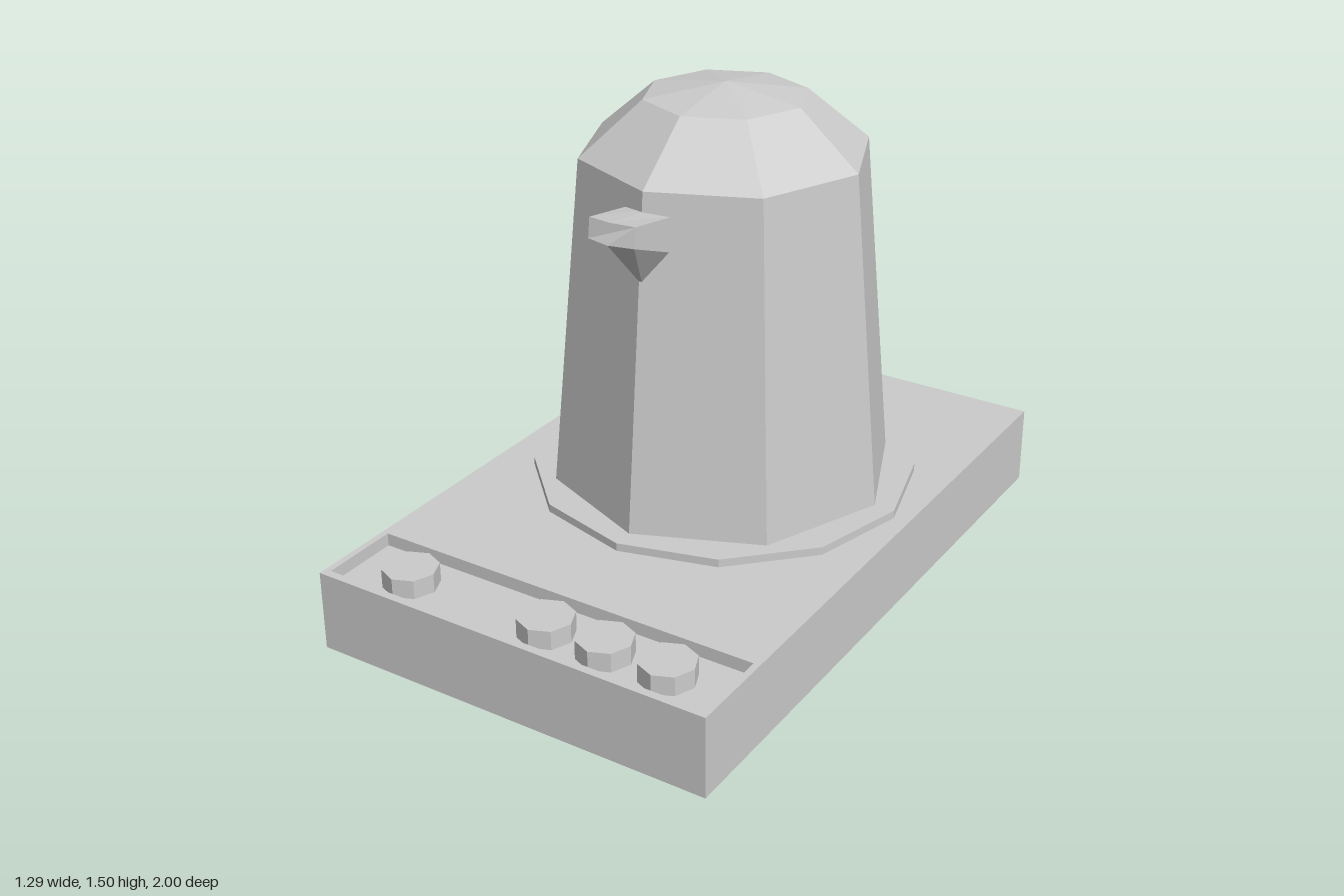
import * as THREE from 'three';

const grey = new THREE.MeshStandardMaterial({ color: 0xcccccc, flatShading: true });

function part(name, geometry, x = 0, y = 0, z = 0) {
  const mesh = new THREE.Mesh(geometry, grey);
  mesh.name = name;
  mesh.position.set(x, y, z);
  return mesh;
}

// Capped skin over equal-length rings, each counter-clockwise seen from ahead
function loft(rings) {
  const n = rings[0].length;
  const pos = [];
  const tri = (a, b, c) => pos.push(...a, ...b, ...c);
  for (let k = 0; k + 1 < rings.length; k++) {
    const a = rings[k], b = rings[k + 1];
    for (let i = 0; i < n; i++) {
      const j = (i + 1) % n;
      tri(a[i], a[j], b[j]);
      tri(a[i], b[j], b[i]);
    }
  }
  const first = rings[0], last = rings[rings.length - 1];
  for (let i = 1; i + 1 < n; i++) {
    tri(first[0], first[i + 1], first[i]);
    tri(last[0], last[i], last[i + 1]);
  }
  const g = new THREE.BufferGeometry();
  g.setAttribute('position', new THREE.Float32BufferAttribute(pos, 3));
  g.computeVertexNormals();
  return g;
}

const rect = (x, z0, z1, y) => [[x, y, z1], [x, y, z0], [-x, y, z0], [-x, y, z1]];

export function createModel() {
  const model = new THREE.Group();
  model.name = 'kettleOnBase';

  // Slab with a sunken control tray at the front
  model.add(part('base', loft([
    rect(0.645, -1, 1, 0),
    rect(0.645, -1, 1, 0.25),
    rect(0.625, 0.73, 0.975, 0.25),
    rect(0.625, 0.73, 0.975, 0.21),
  ])));

  // Control knobs
  for (const x of [-0.43, 0.045, 0.24, 0.44]) {
    model.add(part('knob', new THREE.CylinderGeometry(0.083, 0.083, 0.06, 8), x, 0.238, 0.857));
  }

  // Hot plate
  model.add(part('hotPlate', new THREE.CylinderGeometry(0.595, 0.595, 0.03, 12), 0, 0.26, -0.142));

  const kettle = new THREE.Group();
  kettle.name = 'kettle';
  model.add(kettle);

  // Tapered octagonal body and domed lid
  kettle.add(part('body', new THREE.CylinderGeometry(0.435, 0.53, 1.03, 8), 0, 0.79, -0.142));
  const lidProfile = [[0.435, 1.305], [0.245, 1.467], [0, 1.505]].map(p => new THREE.Vector2(...p));
  kettle.add(part('lid', new THREE.LatheGeometry(lidProfile, 8), 0, 0, -0.142));

  // Pouring spout, from the body out to the lip
  const w = 0.075;
  kettle.add(part('spout', loft([
    [[w, 1.235, 0.25], [0, 1.24, 0.25], [-w, 1.235, 0.25], [-w, 1.13, 0.26], [0, 1.03, 0.3], [w, 1.13, 0.26]],
    [[w, 1.265, 0.44], [0, 1.267, 0.453], [-w, 1.265, 0.44], [-w, 1.205, 0.448], [0, 1.205, 0.465], [w, 1.205, 0.448]],
  ])));

  // Handle: short arm bending into a hanging grip
  const section = (outer, oy, oz, cy, cz, iy, iz) => [
    [-outer, oy, oz], [0, cy, cz], [outer, oy, oz], [w, iy, iz], [-w, iy, iz],
  ];
  kettle.add(part('handle', loft([
    section(0.075, 1.245, -0.54, 1.255, -0.54, 1.135, -0.54),
    section(0.042, 1.25, -0.705, 1.255, -0.722, 1.135, -0.665),
    section(0.042, 0.755, -0.845, 0.755, -0.86, 0.755, -0.73),
  ])));

  return model;
}
